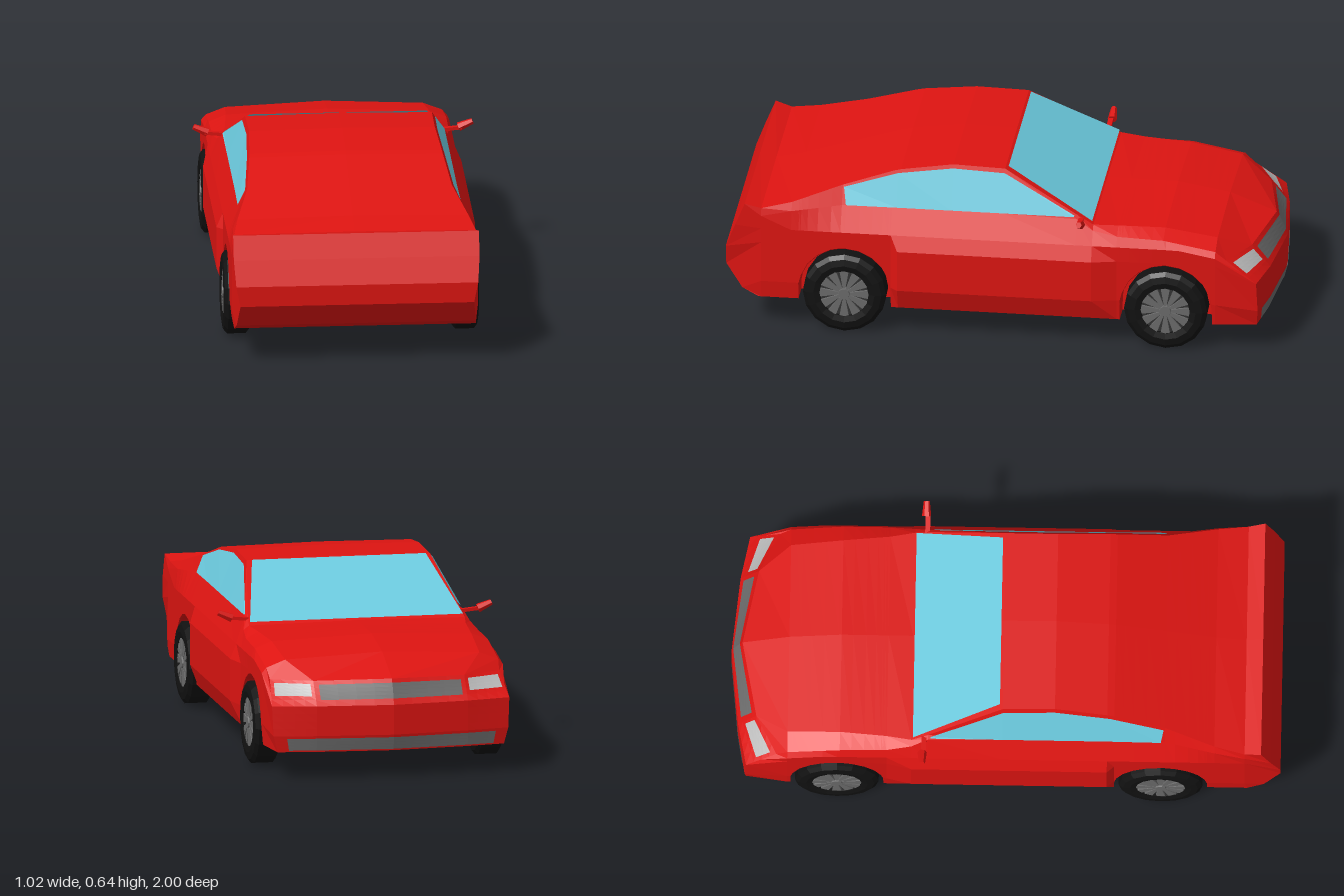
import * as THREE from 'three';

const RED = 0xdd1411, GLASS = 0x6ccbdf, GREY = 0x6b6b6b, LAMP = 0xbbbbbb, BLACK = 0x111111;
const WHEELS_Z = [-0.61, 0.565], AXLE_Y = 0.155, ARCH = 0.168;

const material = (color) =>
  new THREE.MeshStandardMaterial({ color, flatShading: true, side: THREE.DoubleSide });

function solid(name, geometry, color) {
  const mesh = new THREE.Mesh(geometry, material(color));
  mesh.name = name;
  return mesh;
}

// Faceted mesh from a list of [a, b, c, d] corners
function quadMesh(name, quads, color) {
  const pos = quads.flatMap(([a, b, c, d]) => [a, b, c, a, c, d].flat());
  const g = new THREE.BufferGeometry();
  g.setAttribute('position', new THREE.Float32BufferAttribute(pos, 3));
  g.computeVertexNormals();
  return solid(name, g, color);
}

const mix = (p, q, t) => p.map((v, i) => v + (q[i] - v) * t);
const flip = ([x, y, z]) => [-x, y, z];
const mirrorQuads = (quads) => quads.concat(quads.map((q) => q.map(flip).reverse()));

// Body shape along z: top y, roof or hood edge x and y, belt x and y, flank x
const KEYS = [
  [-0.79, 0.428, 0.36, 0.412, 0.43, 0.385, 0.447],
  [-0.6, 0.46, 0.37, 0.445, 0.432, 0.42, 0.447],
  [-0.43, 0.46, 0.385, 0.45, 0.43, 0.425, 0.45],
  [-0.34, 0.46, 0.4, 0.455, 0.42, 0.44, 0.47],
  [-0.28, 0.491, 0.392, 0.487, 0.405, 0.475, 0.47],
  [-0.01, 0.637, 0.34, 0.632, 0.4, 0.48, 0.47],
  [0.18, 0.642, 0.338, 0.637, 0.4, 0.48, 0.47],
  [0.37, 0.617, 0.35, 0.612, 0.4, 0.48, 0.47],
  [0.396, 0.611, 0.352, 0.606, 0.4, 0.48, 0.447],
  [0.58, 0.553, 0.372, 0.548, 0.402, 0.48, 0.447],
  [0.76, 0.497, 0.42, 0.49, 0.435, 0.46, 0.447],
  [0.87, 0.472, 0.44, 0.468, 0.447, 0.44, 0.447],
];

function shapeAt(z) {
  let i = 0;
  while (i < KEYS.length - 2 && z > KEYS[i + 1][0]) i++;
  const a = KEYS[i], b = KEYS[i + 1];
  return mix(a, b, (z - a[0]) / (b[0] - a[0]));
}

// Lower edge of the flank, raised over the wheels
function sillAt(z) {
  for (const c of WHEELS_Z) {
    const d = Math.abs(z - c);
    if (d < ARCH + 0.0005) return AXLE_Y + Math.sqrt(Math.max(0, ARCH * ARCH - d * d));
  }
  return z > 0.7 ? 0.115 : 0.1;
}

// Half cross-section from the floor centre, round the flank, to the top centre
function section(z) {
  const [, top, ex, ey, bx, by, w] = shapeAt(z), sill = sillAt(z);
  const floor = z > 0.7 ? 0.115 : 0.1;
  return [
    [0, floor, z], [0.355, floor, z], [0.355, sill, z], [0.44, sill, z],
    [w, Math.max(0.18, sill + 0.005), z], [w, 0.335, z],
    [0.447, Math.min(0.39, by - 0.02), z], [bx, by, z], [ex, ey, z], [0, top, z],
  ];
}

const NOSE = [
  [0, 0.1, -0.985], [0.28, 0.1, -0.962], [0.28, 0.1, -0.962], [0.42, 0.1, -0.94],
  [0.435, 0.16, -0.945], [0.44, 0.27, -0.94], [0.4325, 0.31, -0.885],
  [0.425, 0.35, -0.83], [0.28, 0.352, -0.905], [0, 0.36, -0.96],
];
const TAIL = [
  [0, 0.115, 0.87], [0.355, 0.115, 0.875], [0.355, 0.115, 0.875], [0.44, 0.115, 0.88],
  [0.435, 0.145, 0.94], [0.425, 0.235, 1], [0.44, 0.31, 1],
  [0.447, 0.4, 0.965], [0.447, 0.485, 0.93], [0, 0.485, 0.93],
];

// Front face rows, from the bottom up, each from the centre outwards
const FRONT = [
  [NOSE[0], NOSE[2], NOSE[3]],
  [[0, 0.16, -1], [0.28, 0.16, -0.972], NOSE[4]],
  [[0, 0.27, -1], [0.28, 0.27, -0.972], NOSE[5]],
  [NOSE[9], NOSE[8], NOSE[7]],
];

// Part of one front face cell, moved forward by off
function patch(row, col, u0, u1, v0, v1, off, n = 4) {
  const at = (i, j) => {
    const u = u0 + ((u1 - u0) * i) / n, v = v0 + ((v1 - v0) * j) / n;
    const lo = mix(FRONT[row][col], FRONT[row][col + 1], u);
    const hi = mix(FRONT[row + 1][col], FRONT[row + 1][col + 1], u);
    const p = mix(lo, hi, v);
    return [p[0], p[1], p[2] - off];
  };
  const quads = [];
  for (let i = 0; i < n; i++)
    for (let j = 0; j < n; j++)
      quads.push([at(i, j), at(i, j + 1), at(i + 1, j + 1), at(i + 1, j)]);
  return quads;
}

function bodyQuads() {
  const stations = KEYS.map((k) => k[0]);
  for (const c of WHEELS_Z) {
    for (let i = 0; i <= 10; i++) stations.push(c - ARCH * Math.cos((i * Math.PI) / 10));
    stations.push(c - ARCH - 0.001, c + ARCH + 0.001);
  }
  stations.sort((a, b) => a - b);
  const halves = [NOSE, ...stations.map(section), TAIL];
  const quads = [];
  for (let i = 0; i < halves.length - 1; i++)
    for (let j = 0; j < 9; j++)
      quads.push([halves[i][j], halves[i][j + 1], halves[i + 1][j + 1], halves[i + 1][j]]);
  for (let r = 0; r < 3; r++)
    for (let c = 0; c < 2; c++) quads.push(...patch(r, c, 0, 1, 0, 1, 0));
  const all = mirrorQuads(quads);
  // Tail panels run straight across
  for (let j = 3; j < 8; j++)
    all.push([TAIL[j], TAIL[j + 1], flip(TAIL[j + 1]), flip(TAIL[j])]);
  return all;
}

function sideWindowQuads() {
  const onSide = (z, y) => {
    const [, , ex, ey, bx, by] = shapeAt(z);
    return [bx + ((ex - bx) * (y - by)) / (ey - by) + 0.005, y, z];
  };
  const tops = [[-0.27, 0.487], [-0.01, 0.618], [0.18, 0.625], [0.38, 0.6], [0.575, 0.543]];
  return tops.slice(1).map(([z1, y1], i) => {
    const [z0, y0] = tops[i], end = i === 3 ? z1 - 0.01 : z1;
    return [onSide(z0, 0.482), onSide(z0, y0), onSide(z1, y1), onSide(end, 0.482)];
  });
}

function createWheel() {
  const wheel = new THREE.Group();
  const profile = [[0.09, -0.045], [0.112, -0.05], [0.137, -0.046], [0.152, -0.034],
    [0.152, 0.034], [0.137, 0.046], [0.112, 0.05], [0.09, 0.045], [0.09, -0.045]];
  wheel.add(solid('tire', new THREE.LatheGeometry(profile.map((p) => new THREE.Vector2(...p)), 16), BLACK));
  wheel.add(solid('rimBack', new THREE.CylinderGeometry(0.092, 0.092, 0.07, 16), 0x333333));
  const hub = solid('hub', new THREE.CylinderGeometry(0.02, 0.024, 0.016, 10), GREY);
  hub.position.y = 0.04;
  wheel.add(hub);
  // Tapered spokes
  const shape = new THREE.Shape([[0.015, -0.004], [0.09, -0.017], [0.09, 0.017], [0.015, 0.004]]
    .map((p) => new THREE.Vector2(...p)));
  const spoke = new THREE.ExtrudeGeometry(shape, { depth: 0.009, bevelEnabled: false });
  spoke.rotateX(-Math.PI / 2).translate(0, 0.034, 0);
  for (let i = 0; i < 12; i++) {
    const s = solid('spoke', spoke, GREY);
    s.rotation.y = (i * Math.PI) / 6;
    wheel.add(s);
  }
  return wheel;
}

function createMirror(side) {
  const mirror = new THREE.Group();
  mirror.name = side > 0 ? 'leftMirror' : 'rightMirror';
  const stalk = solid('mirrorStalk', new THREE.BoxGeometry(0.075, 0.012, 0.018), RED);
  stalk.position.set(0.43, 0.475, -0.295);
  const head = solid('mirrorHead', new THREE.CylinderGeometry(0.011, 0.017, 0.055, 6), RED);
  head.position.set(0.482, 0.489, -0.3);
  for (const m of [stalk, head]) {
    m.position.x *= side;
    m.rotation.z = side * (m === head ? 0.4 - Math.PI / 2 : 0.1);
    mirror.add(m);
  }
  return mirror;
}

export function createModel() {
  const car = new THREE.Group();
  car.name = 'car';
  car.add(quadMesh('body', bodyQuads(), RED));
  car.add(quadMesh('sideWindows', mirrorQuads(sideWindowQuads()), GLASS));

  // Windshield
  const [lo, hi] = [[0.395, 0.467, -0.335], [0.322, 0.635, -0.02]];
  car.add(quadMesh('windshield', [[lo, flip(lo), flip(hi), hi]], GLASS));

  // Grilles and headlights
  car.add(quadMesh('upperGrille', mirrorQuads(patch(2, 0, 0, 0.94, 0.25, 0.85, 0.004)), GREY));
  car.add(quadMesh('lowerGrille', mirrorQuads(
    [...patch(0, 0, 0, 1, 0.1, 0.85, 0.003), ...patch(0, 1, 0, 0.7, 0.1, 0.85, 0.003)]), GREY));
  car.add(quadMesh('headlights', mirrorQuads(patch(2, 1, 0.08, 0.92, 0.4, 0.88, 0.004)), LAMP));

  for (const side of [1, -1]) {
    car.add(createMirror(side));
    for (const z of WHEELS_Z) {
      const wheel = createWheel();
      wheel.name = (z < 0 ? 'noseWheel' : 'tailWheel') + (side > 0 ? 'Left' : 'Right');
      wheel.rotation.z = (-side * Math.PI) / 2;
      wheel.position.set(side * 0.415, AXLE_Y - 0.003, z);
      car.add(wheel);
    }
  }
  return car;
}
